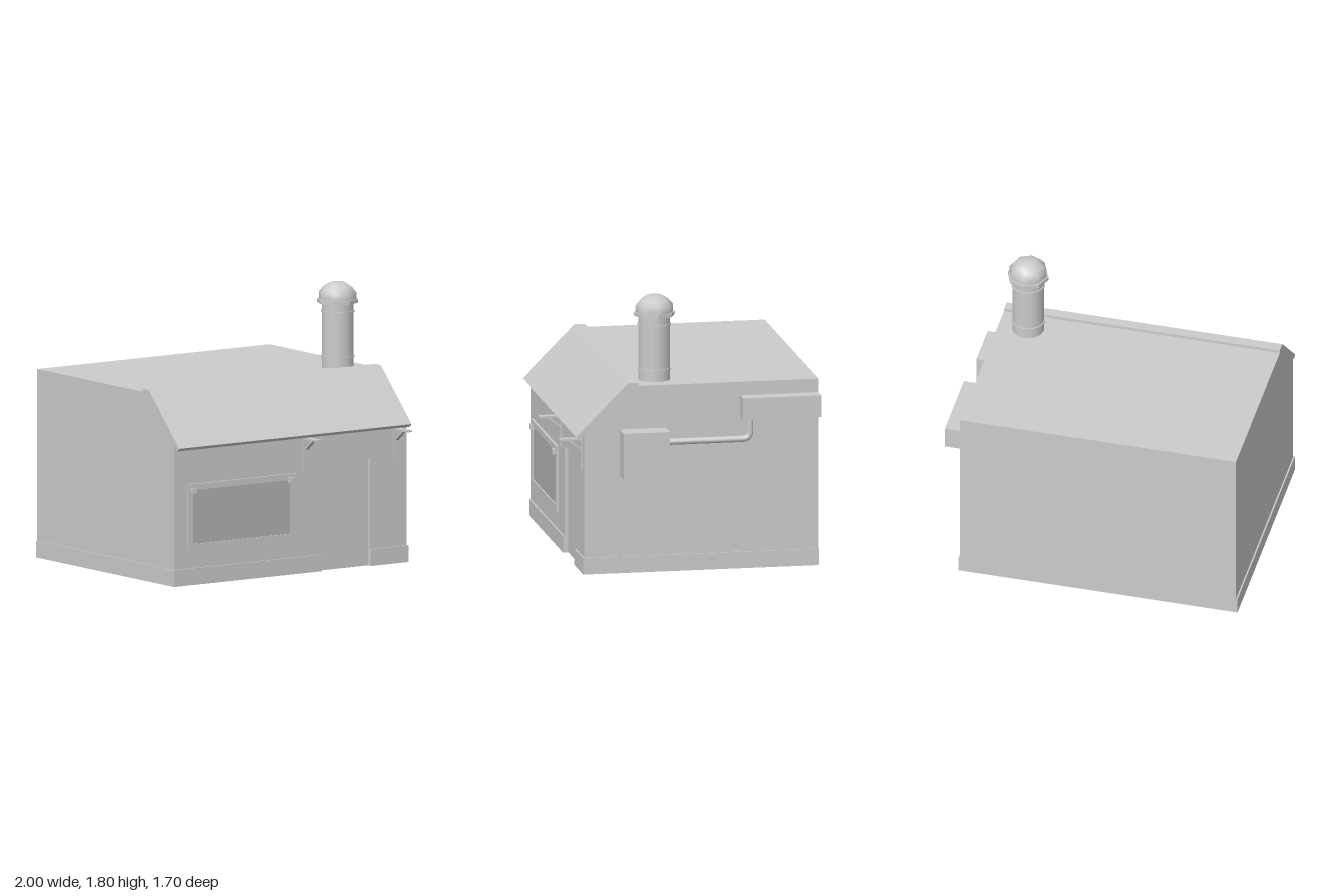
import * as THREE from 'three';

const grey = new THREE.MeshStandardMaterial({ color: 0xcccccc, side: THREE.DoubleSide });
const flat = new THREE.MeshStandardMaterial({ color: 0xcccccc, flatShading: true });
const glass = new THREE.MeshStandardMaterial({ color: 0xb4b4b4 });

export function createModel() {
  const group = new THREE.Group();
  const add = (name, geo, mat = grey, parent = group) => {
    const m = new THREE.Mesh(geo, mat);
    m.name = name;
    parent.add(m);
    return m;
  };
  // box given by its min and max on each axis
  const box = (name, x0, x1, y0, y1, z0, z1, mat = grey, parent = group) => {
    const g = new THREE.BoxGeometry(x1 - x0, y1 - y0, z1 - z0);
    g.translate((x0 + x1) / 2, (y0 + y1) / 2, (z0 + z1) / 2);
    return add(name, g, mat, parent);
  };
  const shapeOf = pts => new THREE.Shape(pts.map(p => new THREE.Vector2(...p)));
  // (z, y) profile extruded along x from x0 to x1
  const sideProfile = (name, pts, x0, x1, parent = group) => {
    const g = new THREE.ExtrudeGeometry(shapeOf(pts.map(([z, y]) => [-z, y])), { depth: x1 - x0, bevelEnabled: false });
    g.rotateY(Math.PI / 2);
    g.translate(x0, 0, 0);
    return add(name, g, grey, parent);
  };
  const rectHole = (x0, x1, y0, y1) =>
    new THREE.Path([[x0, y0], [x0, y1], [x1, y1], [x1, y0]].map(p => new THREE.Vector2(...p)));

  const L = -0.99, R = 0.86, B = -0.85, F = 0.70, T = 0.06;

  // Walls: open underneath, with a window hole and a door notch in front
  const gable = [[B, 0], [F, 0], [F, 0.94], [0.40, 1.24], [B, 1.24]];
  sideProfile('leftSideWall', gable, R - T, R);
  sideProfile('rightSideWall', gable, L, L + T);
  box('backWall', L + T, R - T, 0, 1.24, B, B + T);
  const front = shapeOf([[L + T, 0], [0.18, 0], [0.18, 0.71], [0.57, 0.71], [0.57, 0], [R - T, 0], [R - T, 0.93], [L + T, 0.93]]);
  front.holes.push(rectHole(-0.85, -0.07, 0.27, 0.625));
  const frontGeo = new THREE.ExtrudeGeometry(front, { depth: T, bevelEnabled: false });
  frontGeo.translate(0, 0, F - T);
  add('frontWall', frontGeo);

  // Roof: flat slab and sloping front eave
  box('flatRoof', L + T, R - T, 1.21, 1.24, B + T, 0.40);
  sideProfile('slopedRoof', [[0.34, 1.235], [0.395, 1.235], [0.735, 0.895], [0.755, 0.915], [0.41, 1.26], [0.34, 1.26]], L, R);

  // Plinth around the front and sides
  const P = 0.11;
  box('plinthRightSide', -1, L, 0, P, B, 0.71);
  box('plinthLeftSide', R, 0.87, 0, P, B, 0.71);
  box('plinthFront', L, 0.18, 0, P, F, 0.71);
  box('plinthFront', 0.57, R, 0, P, F, 0.71);

  // Recessed door
  box('door', 0.18, 0.57, 0, 0.71, 0.655, 0.675);

  // Window: raised frame, pane and two top catches
  const windowGroup = new THREE.Group();
  windowGroup.name = 'window';
  group.add(windowGroup);
  const frame = shapeOf([[-0.89, 0.23], [-0.03, 0.23], [-0.03, 0.665], [-0.89, 0.665]]);
  frame.holes.push(rectHole(-0.85, -0.07, 0.27, 0.625));
  const frameGeo = new THREE.ExtrudeGeometry(frame, { depth: 0.015, bevelEnabled: false });
  frameGeo.translate(0, 0, F);
  add('windowFrame', frameGeo, grey, windowGroup);
  box('windowPane', -0.85, -0.07, 0.27, 0.625, 0.695, 0.707, glass, windowGroup);
  for (const x of [-0.85, -0.07]) box('windowCatch', x - 0.018, x + 0.018, 0.605, 0.64, 0.705, 0.735, grey, windowGroup);

  // Awning brackets: wall plate, arm and diagonal strut
  for (const x of [0.06, 0.777]) {
    const bracket = new THREE.Group();
    bracket.name = 'awningBracket';
    group.add(bracket);
    box('bracketPlate', x - 0.022, x + 0.022, 0.685, 0.892, F, 0.71, grey, bracket);
    box('bracketArm', x - 0.022, x + 0.022, 0.88, 0.892, F, 0.85, grey, bracket);
    sideProfile('bracketStrut', [[0.705, 0.808], [0.80, 0.883], [0.782, 0.883], [0.705, 0.822]], x - 0.014, x + 0.014, bracket);
  }

  // Chimney: pipe with two bands and an eight-sided cowl
  const chimney = new THREE.Group();
  chimney.name = 'chimney';
  chimney.position.set(0.663, 0, 0.2);
  group.add(chimney);
  const ring = (name, r, y0, y1, n, mat) => {
    const g = new THREE.CylinderGeometry(r, r, y1 - y0, n);
    g.translate(0, (y0 + y1) / 2, 0);
    add(name, g, mat, chimney);
  };
  ring('chimneyPipe', 0.104, 1.22, 1.68, 16, grey);
  for (const y of [1.315, 1.61]) ring('chimneyBand', 0.111, y - 0.005, y + 0.005, 16, grey);
  ring('cowlRim', 0.135, 1.665, 1.69, 8, flat);
  const dome = [[0.124, 1.69], [0.124, 1.735], [0.095, 1.77], [0.052, 1.798], [0, 1.80]];
  add('cowlDome', new THREE.LatheGeometry(dome.map(p => new THREE.Vector2(...p)), 8), grey, chimney);

  // Side equipment: meter box, duct and the bent pipe joining them
  box('wallBox', R, 1, 0.645, 0.955, 0.16, 0.465);
  box('wallDuct', R, 0.963, 1.005, 1.15, B, -0.33);
  const px = 0.883, v = (y, z) => new THREE.Vector3(px, y, z);
  const path = new THREE.CurvePath();
  path.add(new THREE.LineCurve3(v(0.865, 0.17), v(0.865, -0.34)));
  path.add(new THREE.QuadraticBezierCurve3(v(0.865, -0.34), v(0.865, -0.392), v(0.917, -0.392)));
  path.add(new THREE.LineCurve3(v(0.917, -0.392), v(1.01, -0.392)));
  add('connectingPipe', new THREE.TubeGeometry(path, 64, 0.021, 12));

  return group;
}
